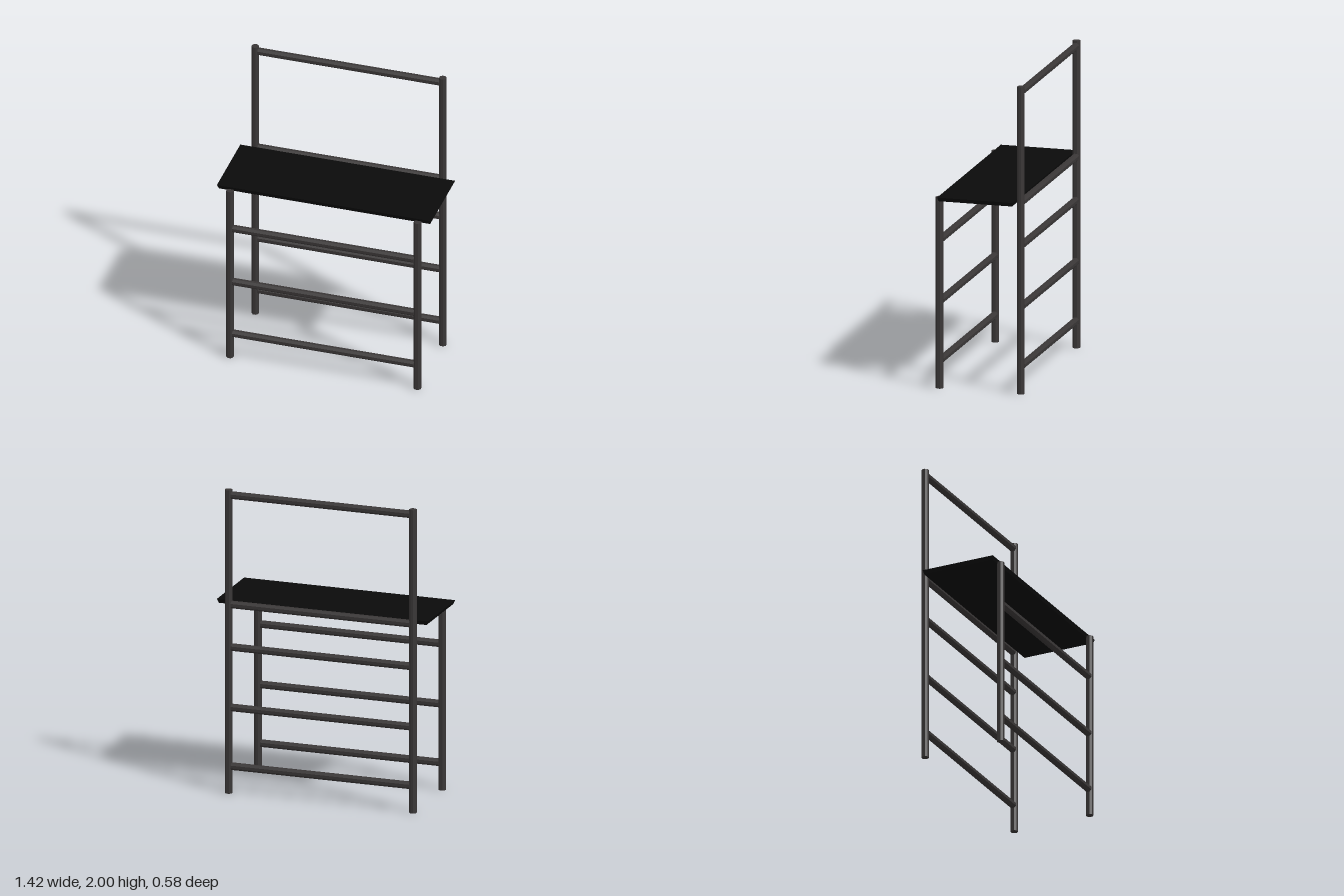
import * as THREE from 'three';

export function createModel() {
  const group = new THREE.Group();
  const metal = new THREE.MeshStandardMaterial({ color: 0x393636, flatShading: true });
  const black = new THREE.MeshStandardMaterial({ color: 0x0a0a0a, flatShading: true });

  const POST_X = 0.62, POST_Z = 0.267;
  const RADIUS = 0.0225 / Math.cos(Math.PI / 8);

  // Octagonal tube with flats facing the axes
  function tube(name, length) {
    const geometry = new THREE.CylinderGeometry(RADIUS, RADIUS, length, 8);
    geometry.rotateY(Math.PI / 8);
    const mesh = new THREE.Mesh(geometry, metal);
    mesh.name = name;
    group.add(mesh);
    return mesh;
  }

  // One end frame: two posts joined by horizontal rails
  function frame(side, z, height, railHeights) {
    for (const s of [-1, 1]) {
      tube(`${side}${s > 0 ? 'Left' : 'Right'}Post`, height).position.set(s * POST_X, height / 2, z);
    }
    railHeights.forEach((y, i) => {
      const rail = tube(`${side}Rail${i + 1}`, 2 * (POST_X - 0.02));
      rail.rotation.z = Math.PI / 2;
      rail.position.set(0, y, z);
    });
  }

  const lowRails = [0.178, 0.565, 0.963];
  frame('front', POST_Z, 1.245, lowRails);
  frame('back', -POST_Z, 2, [...lowRails, 1.244, 1.965]);

  // Tabletop: thin slab whose edges taper inward towards the underside
  const slab = new THREE.BoxGeometry(1.42, 0.026, 0.496);
  const p = slab.attributes.position;
  for (let i = 0; i < p.count; i++) {
    if (p.getY(i) < 0) {
      p.setX(i, p.getX(i) - Math.sign(p.getX(i)) * 0.012);
      p.setZ(i, p.getZ(i) - Math.sign(p.getZ(i)) * 0.006);
    }
  }
  slab.computeVertexNormals();
  const top = new THREE.Mesh(slab, black);
  top.name = 'tabletop';
  top.position.set(0, 1.248, 0.009);
  group.add(top);

  return group;
}
